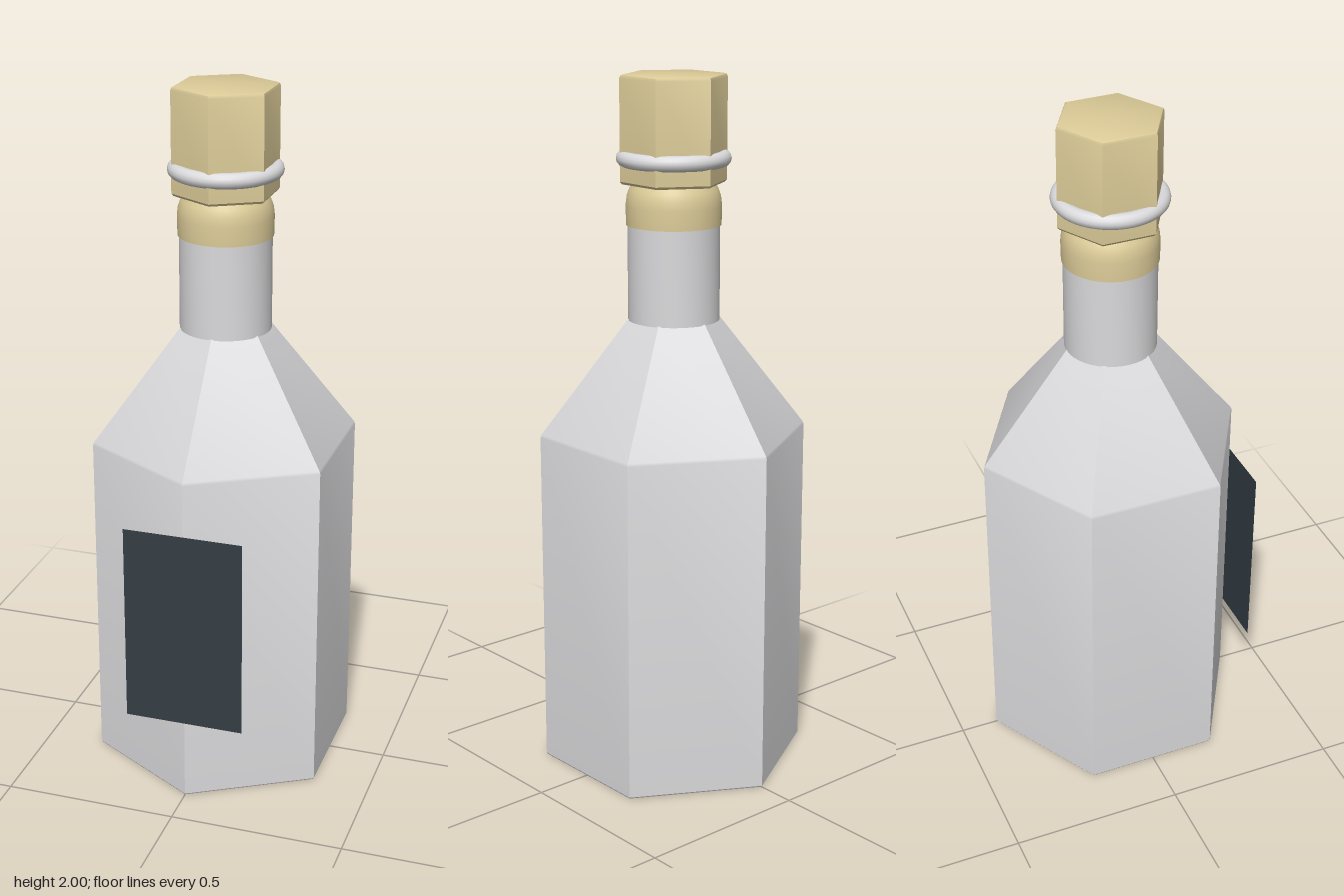
import * as THREE from 'three';
import { toCreasedNormals } from 'three/addons/utils/BufferGeometryUtils.js';

export function createModel() {
  const glass = new THREE.MeshStandardMaterial({ color: 0xdadadc });
  glass.name = 'pale grey glass';
  const cork = new THREE.MeshStandardMaterial({ color: 0xdccb98 });
  cork.name = 'tan cork';
  const paper = new THREE.MeshStandardMaterial({ color: 0x343d44, side: THREE.DoubleSide });
  paper.name = 'dark label';

  const model = new THREE.Group();
  model.name = 'bottle';
  const add = (name, geometry, material, y = 0, z = -0.003) => {
    const mesh = new THREE.Mesh(geometry, material);
    mesh.name = name;
    mesh.position.set(0, y, z);
    model.add(mesh);
    return mesh;
  };
  // Spin a profile of [radius, height] pairs; six sides give a hexagon with a corner at the front
  const spin = (profile, sides) => toCreasedNormals(
    new THREE.LatheGeometry(profile.map(([r, y]) => new THREE.Vector2(r, y)), sides), 0.5);

  // Hexagonal body with sloping shoulders
  add('body', spin([
    [0, 0], [0.384, 0], [0.387, 0.004], [0.387, 0.984], [0.384, 0.992], [0.132, 1.318], [0, 1.318],
  ], 6), glass);

  // Round neck, slightly wider than the flats of the shoulder top
  add('neck', spin([[0, 1.315], [0.13, 1.315], [0.13, 1.59], [0, 1.59]], 40), glass);

  // Cork: a round plug curving in under a hexagonal grip
  add('corkPlug', spin([
    [0, 1.585], [0.134, 1.585], [0.135, 1.64], [0.132, 1.665], [0.125, 1.685], [0.112, 1.705],
  ], 40), cork);
  add('corkGrip', spin([
    [0, 1.7], [0.146, 1.7], [0.152, 1.707], [0.152, 1.99], [0.149, 1.997], [0.142, 2], [0, 2],
  ], 6), cork);

  // Ring around the cork
  const ring = add('ring', new THREE.TorusGeometry(0.139, 0.022, 14, 48), glass, 1.77);
  ring.rotation.x = Math.PI / 2;

  // Flat label resting on the front corner
  add('label', new THREE.PlaneGeometry(0.346, 0.59), paper, 0.538, 0.388);

  return model;
}
